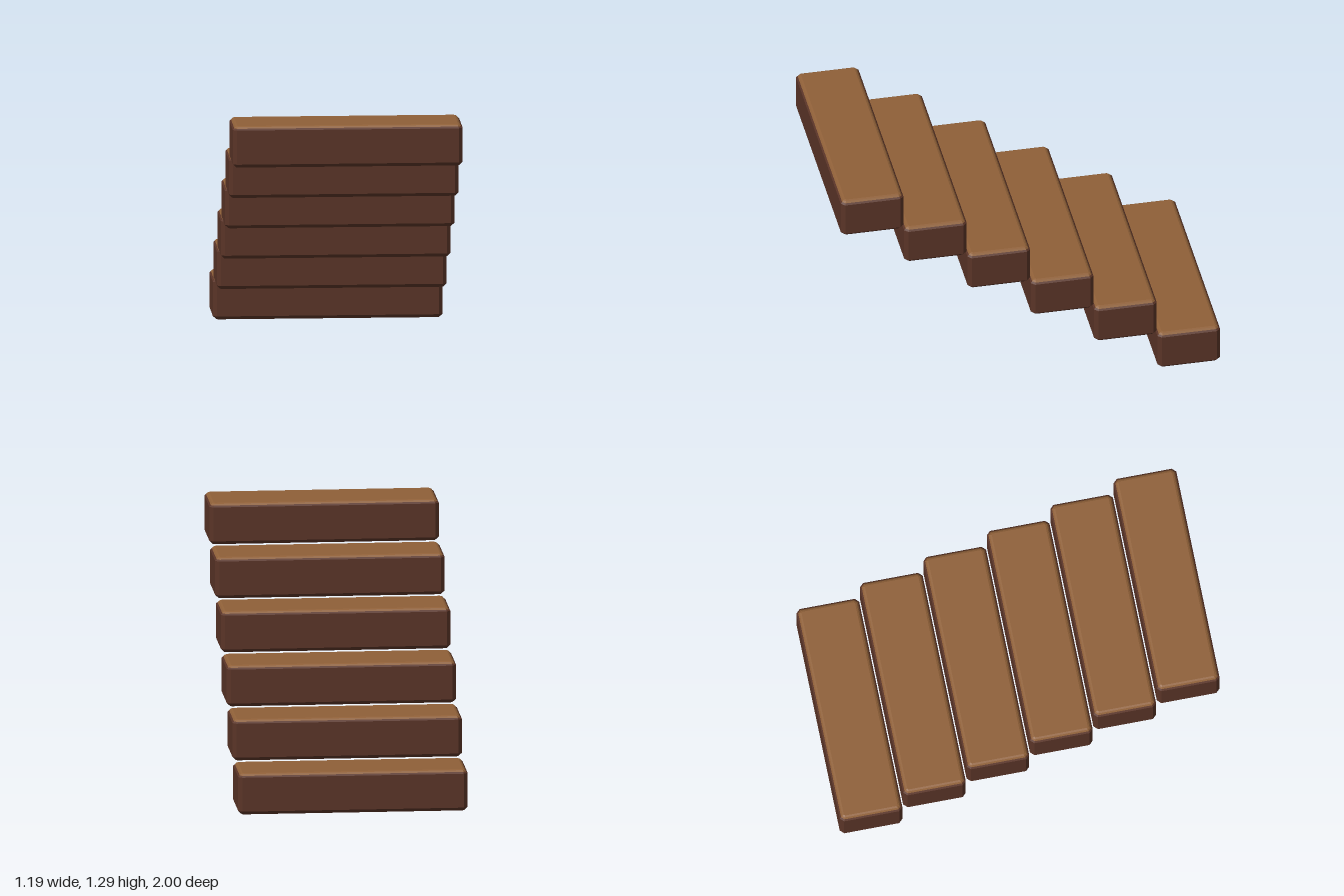
import * as THREE from 'three';

const WIDTH = 1.19, DEPTH = 0.33, HEIGHT = 0.217, BEVEL = 0.02;
const STEPS = 6, RISE = 0.2155, RUN = 0.334;

// Stacks rectangles with cut corners, given as [y, inset], into a closed solid.
function loft(layers) {
  const pos = [], index = [];
  for (const [y, inset] of layers) {
    const x = WIDTH / 2 - inset, z = DEPTH / 2 - inset;
    const c = Math.max(BEVEL - inset * 0.6, 0.004);
    const ring = [[x, z - c], [x - c, z], [c - x, z], [-x, z - c],
      [-x, c - z], [c - x, -z], [x - c, -z], [x, c - z]];
    for (const [px, pz] of ring) pos.push(px, y, pz);
  }
  // side walls
  for (let l = 0; l < layers.length - 1; l++) {
    for (let i = 0; i < 8; i++) {
      const a = l * 8 + i, b = l * 8 + (i + 1) % 8;
      index.push(a, a + 8, b, b, a + 8, b + 8);
    }
  }
  // bottom and top faces
  const top = (layers.length - 1) * 8;
  for (let i = 1; i < 7; i++) {
    index.push(0, i, i + 1);
    index.push(top, top + i + 1, top + i);
  }
  const indexed = new THREE.BufferGeometry();
  indexed.setAttribute('position', new THREE.Float32BufferAttribute(pos, 3));
  // ring order runs clockwise seen from above, so reverse every triangle
  for (let i = 0; i < index.length; i += 3) {
    [index[i + 1], index[i + 2]] = [index[i + 2], index[i + 1]];
  }
  indexed.setIndex(index);
  const geo = indexed.toNonIndexed();
  orientOutward(geo);
  geo.computeVertexNormals();
  return geo;
}

// Makes each triangle of a convex solid face away from its centre.
function orientOutward(geo) {
  geo.computeBoundingBox();
  const centre = geo.boundingBox.getCenter(new THREE.Vector3());
  const p = geo.attributes.position;
  const t = new THREE.Triangle(), n = new THREE.Vector3(), m = new THREE.Vector3();
  for (let i = 0; i < p.count; i += 3) {
    t.setFromAttributeAndIndices(p, i, i + 1, i + 2);
    if (t.getNormal(n).dot(t.getMidpoint(m).sub(centre)) < 0) {
      p.setXYZ(i + 1, t.c.x, t.c.y, t.c.z);
      p.setXYZ(i + 2, t.b.x, t.b.y, t.b.z);
    }
  }
}

export function createModel() {
  const model = new THREE.Group();
  model.name = 'staircase';
  const darkWood = new THREE.MeshStandardMaterial({ color: 0x5a3427, flatShading: true });
  const lightWood = new THREE.MeshStandardMaterial({ color: 0x8f6038, flatShading: true });

  // dark block with bevelled edges, and the light tread on its top
  const seam = HEIGHT - 0.012;
  const blockGeo = loft([[0, 0.018], [0.018, 0], [HEIGHT - 0.02, 0], [seam, 0.008]]);
  const treadGeo = loft([[seam, 0.008], [HEIGHT - 0.004, 0.015], [HEIGHT, 0.024]]);

  // the steps climb from the back towards the front
  for (let i = 0; i < STEPS; i++) {
    const step = new THREE.Group();
    step.name = `step${i + 1}`;
    const block = new THREE.Mesh(blockGeo, darkWood);
    block.name = 'stepBlock';
    const tread = new THREE.Mesh(treadGeo, lightWood);
    tread.name = 'tread';
    step.add(block, tread);
    step.position.set(0, i * RISE, (i - (STEPS - 1) / 2) * RUN);
    model.add(step);
  }
  return model;
}
